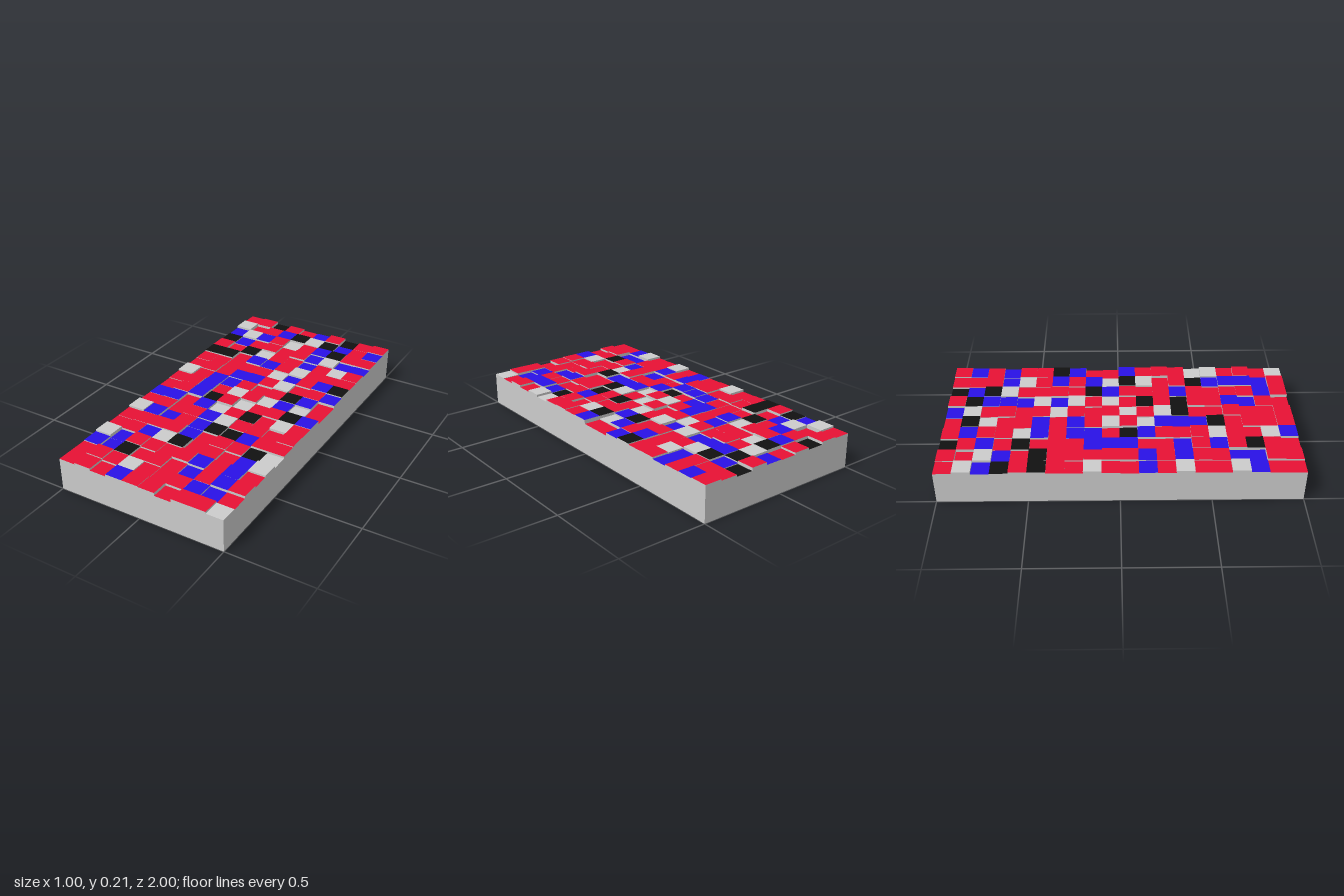
import * as THREE from 'three';

const COLS = 10, ROWS = 20, S = 0.1;
const COLORS = { R: 0xe81134, B: 0x2911e6, K: 0x111111, G: 0xcccccc };

// Tile colours, one string per row from back to front
const PATTERN = [
  'RRKRRBRKRR', 'GRRBKGKBRB', 'BGBRGRBKRR', 'KBRRRRBGBB', 'RRKGRRBRGR',
  'KKRBBRGRRR', 'RRRRRGBRBK', 'RRRBBRGRRB', 'GRBBRRRKBR', 'RRBRGRGBGR',
  'RRBKRGRRKB', 'BBRBGRKRGR', 'RRRRBGRRRR', 'GBBRBKKBRR', 'RRRRBRRRKG',
  'RRBGKRRRBG', 'GBRRRRBRBR', 'BBKRRRBRBR', 'RRRGRRRBBR', 'RRRBRRRRRG',
];

// Tile heights in thousandths: visible borders are set, the inside is scattered
const FRONT = [190, 199, 187, 200, 200, 197, 180, 199, 200, 190];
const RIGHT = [204, 200, 198, 190, 200, 198, 203, 196, 180, 180,
  203, 200, 204, 199, 187, 200, 190, 202, 187, 190];
const LEFT = [196, 206, 192, 196, 203, 203, 196, 193, 206, 196,
  192, 195, 193, 206, 194, 192, 205, 195, 190, 190];

function heightAt(c, r) {
  if (r === ROWS - 1) return FRONT[c] / 1000;
  if (c === COLS - 1) return RIGHT[r] / 1000;
  if (c === 0) return LEFT[r] / 1000;
  const n = Math.sin(c * 12.9898 + r * 78.233 + 3) * 43758.5453;
  return 0.184 + 0.021 * (n - Math.floor(n));
}

// Adds a quad, corners counter-clockwise seen from its front
const quad = (list, a, b, c, d) => list.push(...a, ...b, ...c, ...a, ...c, ...d);

function meshFrom(list, color, name) {
  const geo = new THREE.BufferGeometry();
  geo.setAttribute('position', new THREE.Float32BufferAttribute(list, 3));
  geo.computeVertexNormals();
  const mesh = new THREE.Mesh(geo, new THREE.MeshStandardMaterial({ color }));
  mesh.name = name;
  return mesh;
}

export function createModel() {
  const group = new THREE.Group();
  group.name = 'mosaicSlab';
  const tops = { R: [], B: [], K: [], G: [] };
  const risers = [], base = [];

  for (let r = 0; r < ROWS; r++) {
    for (let c = 0; c < COLS; c++) {
      const h = heightAt(c, r);
      const x0 = (c - COLS / 2) * S, x1 = x0 + S;
      const z0 = (r - ROWS / 2) * S, z1 = z0 + S;

      // coloured tile face
      quad(tops[PATTERN[r][c]], [x0, h, z1], [x1, h, z1], [x1, h, z0], [x0, h, z0]);

      // walls down to lower neighbours, or to the ground at the border
      const sides = [
        [0, 1, x0, z1, x1, z1], [1, 0, x1, z1, x1, z0],
        [0, -1, x1, z0, x0, z0], [-1, 0, x0, z0, x0, z1],
      ];
      for (const [dc, dr, ax, az, bx, bz] of sides) {
        const nc = c + dc, nr = r + dr;
        const outer = nc < 0 || nc >= COLS || nr < 0 || nr >= ROWS;
        const low = outer ? 0 : heightAt(nc, nr);
        if (low < h) {
          quad(outer ? base : risers, [ax, low, az], [bx, low, bz], [bx, h, bz], [ax, h, az]);
        }
      }
    }
  }

  // underside
  quad(base, [-0.5, 0, -1], [0.5, 0, -1], [0.5, 0, 1], [-0.5, 0, 1]);

  group.add(meshFrom(base, 0xcccccc, 'base'));
  group.add(meshFrom(risers, 0xcccccc, 'tileSides'));
  const names = { R: 'redTiles', B: 'blueTiles', K: 'blackTiles', G: 'greyTiles' };
  for (const k in tops) group.add(meshFrom(tops[k], COLORS[k], names[k]));
  return group;
}
